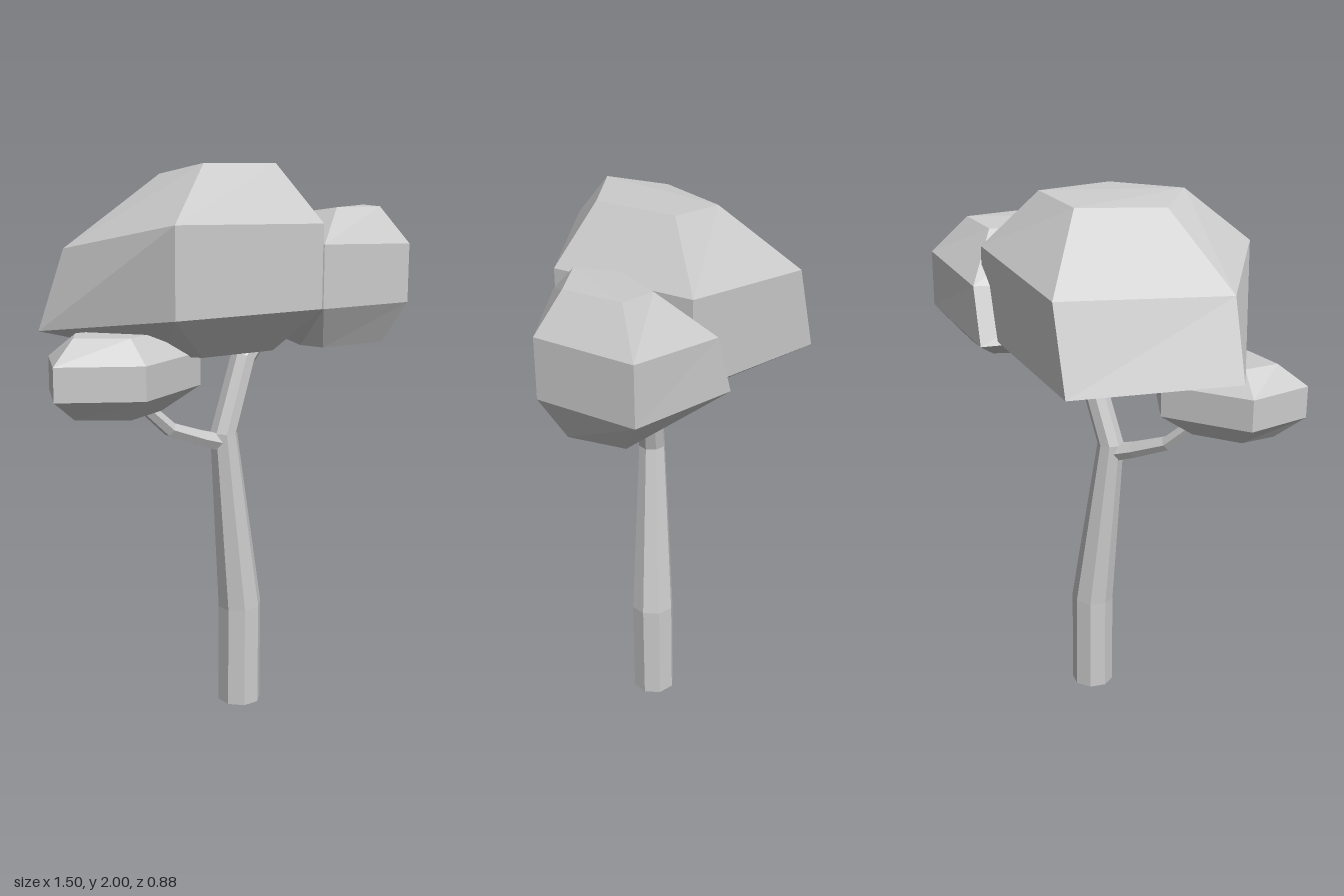
import * as THREE from 'three';

const material = new THREE.MeshStandardMaterial({ color: 0xcccccc, flatShading: true });

// Skins a stack of equal-sized loops (bottom to top) and caps both ends.
function loft(name, rings) {
  const n = rings[0].length;
  const index = [];
  for (let r = 0; r < rings.length - 1; r++) {
    for (let i = 0; i < n; i++) {
      const a = r * n + i, b = r * n + (i + 1) % n;
      index.push(a, b, b + n, a, b + n, a + n);
    }
  }
  const top = (rings.length - 1) * n;
  for (let i = 1; i < n - 1; i++) {
    index.push(0, i + 1, i, top, top + i, top + i + 1);
  }
  const indexed = new THREE.BufferGeometry();
  indexed.setAttribute('position', new THREE.Float32BufferAttribute(rings.flat(2), 3));
  indexed.setIndex(index);
  const geometry = indexed.toNonIndexed();
  geometry.computeVertexNormals();
  const mesh = new THREE.Mesh(geometry, material);
  mesh.name = name;
  return mesh;
}

// Tapered limb through [x, y, radius] stations, all in one plane of constant z.
function limb(name, stations, z, sides) {
  const rings = stations.map(([x, y, radius], s) => {
    const p = stations[Math.max(s - 1, 0)];
    const q = stations[Math.min(s + 1, stations.length - 1)];
    const t = new THREE.Vector2(q[0] - p[0], q[1] - p[1]).normalize();
    return Array.from({ length: sides }, (_, i) => {
      const a = ((i + 0.5) / sides) * Math.PI * 2;
      const c = Math.cos(a) * radius;
      return [x + c * t.y, y - c * t.x, z - Math.sin(a) * radius];
    });
  });
  return loft(name, rings);
}

export function createModel() {
  const tree = new THREE.Group();
  tree.name = 'tree';

  // Trunk and side branch
  tree.add(limb('trunk', [
    [0.055, 0, 0.081], [0.055, 0.38, 0.081], [-0.022, 1.05, 0.05],
    [0.065, 1.32, 0.047], [0.18, 1.45, 0.04],
  ], 0.138, 8));
  tree.add(limb('branch', [
    [-0.02, 1.01, 0.036], [-0.12, 1.04, 0.032], [-0.255, 1.09, 0.028], [-0.38, 1.2, 0.024],
  ], 0.138, 6));

  // Main canopy
  tree.add(loft('mainCanopy', [
    [[-0.23, 1.36, 0.3], [0.07, 1.36, 0.3], [0.21, 1.35, 0.03], [0, 1.34, -0.1], [-0.26, 1.345, 0.09]],
    [[-0.43, 1.51, 0.435], [0.18, 1.51, 0.435], [0.42, 1.48, -0.04], [-0.155, 1.41, -0.44], [-0.64, 1.44, -0.09]],
    [[-0.43, 1.81, 0.435], [0.18, 1.8, 0.435], [0.42, 1.79, -0.04], [-0.08, 1.72, -0.39], [-0.57, 1.72, -0.03]],
    [[-0.225, 2, 0.3], [0.075, 2, 0.3], [0.215, 1.995, 0.03], [0, 1.97, -0.1], [-0.26, 1.965, 0.09]],
  ]));

  // Canopy on the left
  tree.add(loft('leftCanopy', [
    [[0.26, 1.36, 0.35], [0.54, 1.36, 0.355], [0.61, 1.36, 0.16], [0.46, 1.35, 0.08], [0.28, 1.35, 0.2]],
    [[0.18, 1.51, 0.44], [0.58, 1.51, 0.44], [0.75, 1.5, 0.115], [0.355, 1.45, -0.16], [0.04, 1.47, 0.08]],
    [[0.18, 1.73, 0.44], [0.58, 1.72, 0.44], [0.75, 1.71, 0.115], [0.405, 1.66, -0.12], [0.085, 1.66, 0.13]],
    [[0.31, 1.85, 0.35], [0.51, 1.85, 0.355], [0.61, 1.85, 0.16], [0.46, 1.83, 0.08], [0.28, 1.83, 0.2]],
  ]));

  // Small low canopy on the right, straight-sided
  const inner = [[-0.5, 0.28], [-0.33, 0.2], [-0.39, 0.06], [-0.58, 0.06], [-0.655, 0.175]];
  const outer = [[-0.5, 0.37], [-0.175, 0.21], [-0.3, -0.015], [-0.645, -0.015], [-0.755, 0.22]];
  const level = (loop, y) => loop.map(([x, z]) => [x, y, z]);
  tree.add(loft('rightCanopy', [
    level(inner, 1.175), level(outer, 1.25), level(outer, 1.365), level(inner, 1.445),
  ]));

  return tree;
}
